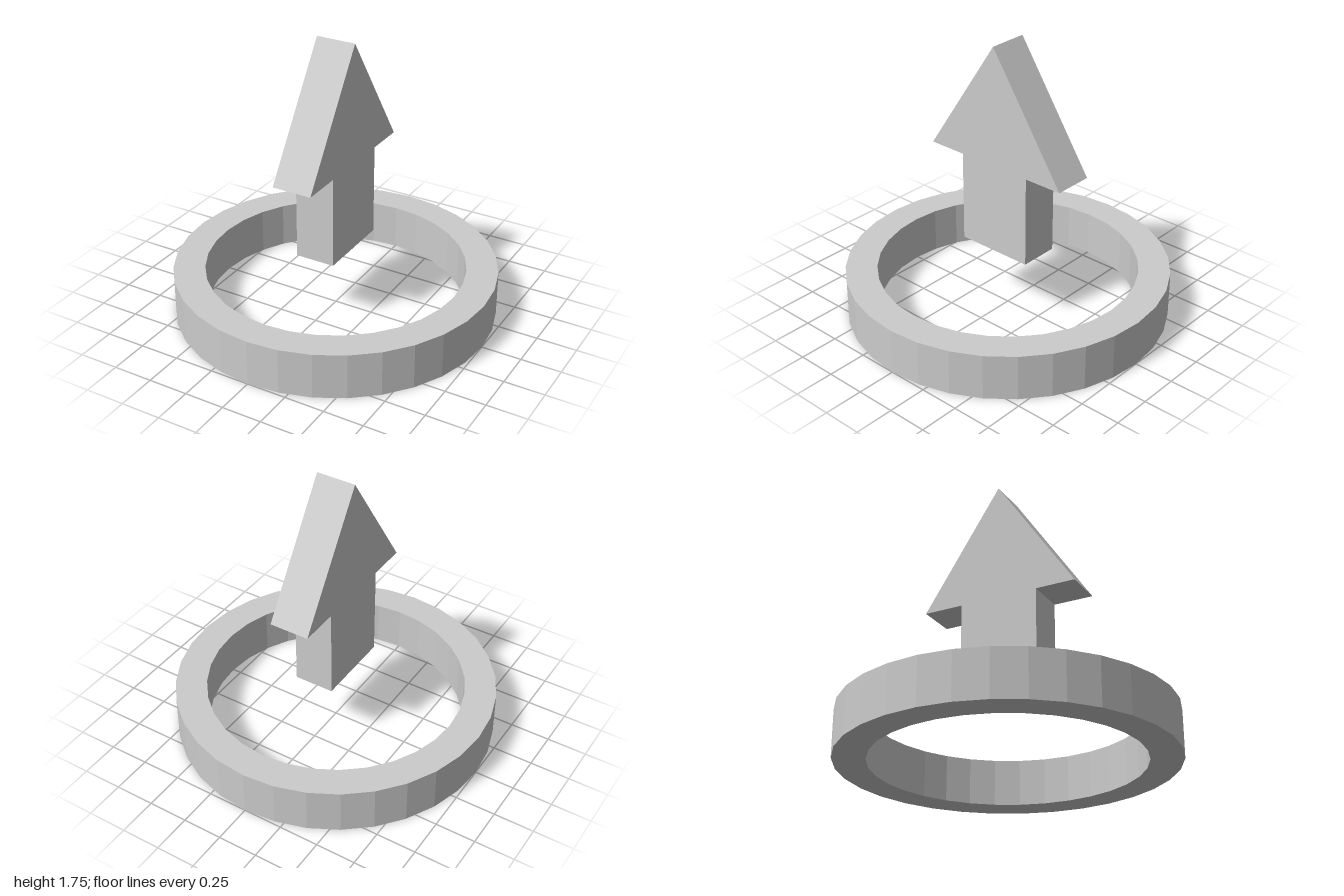
import * as THREE from 'three';

export function createModel() {
  const group = new THREE.Group();
  const material = new THREE.MeshStandardMaterial({ color: 0xcccccc, flatShading: true });
  const points = (list) => list.map(([x, y]) => new THREE.Vector2(x, y));
  const add = (name, geometry) => {
    const mesh = new THREE.Mesh(geometry, material);
    mesh.name = name;
    group.add(mesh);
  };

  // Faceted base ring with a rectangular cross-section
  const outer = 1, inner = 0.805, height = 0.288;
  add('baseRing', new THREE.LatheGeometry(
    points([[outer, 0], [outer, height], [inner, height], [inner, 0], [outer, 0]]), 32));

  // Upright arrow floating above the ring, its broad faces to the sides
  const thickness = 0.25;
  const outline = new THREE.Shape(points([
    [-0.25, 0.427], [0.25, 0.427], [0.25, 1], [0.5, 1], [0, 1.75], [-0.5, 1], [-0.25, 1],
  ]));
  const arrow = new THREE.ExtrudeGeometry(outline, { depth: thickness, bevelEnabled: false });
  arrow.translate(0, 0, -thickness / 2).rotateY(Math.PI / 2);
  add('arrow', arrow);

  return group;
}
